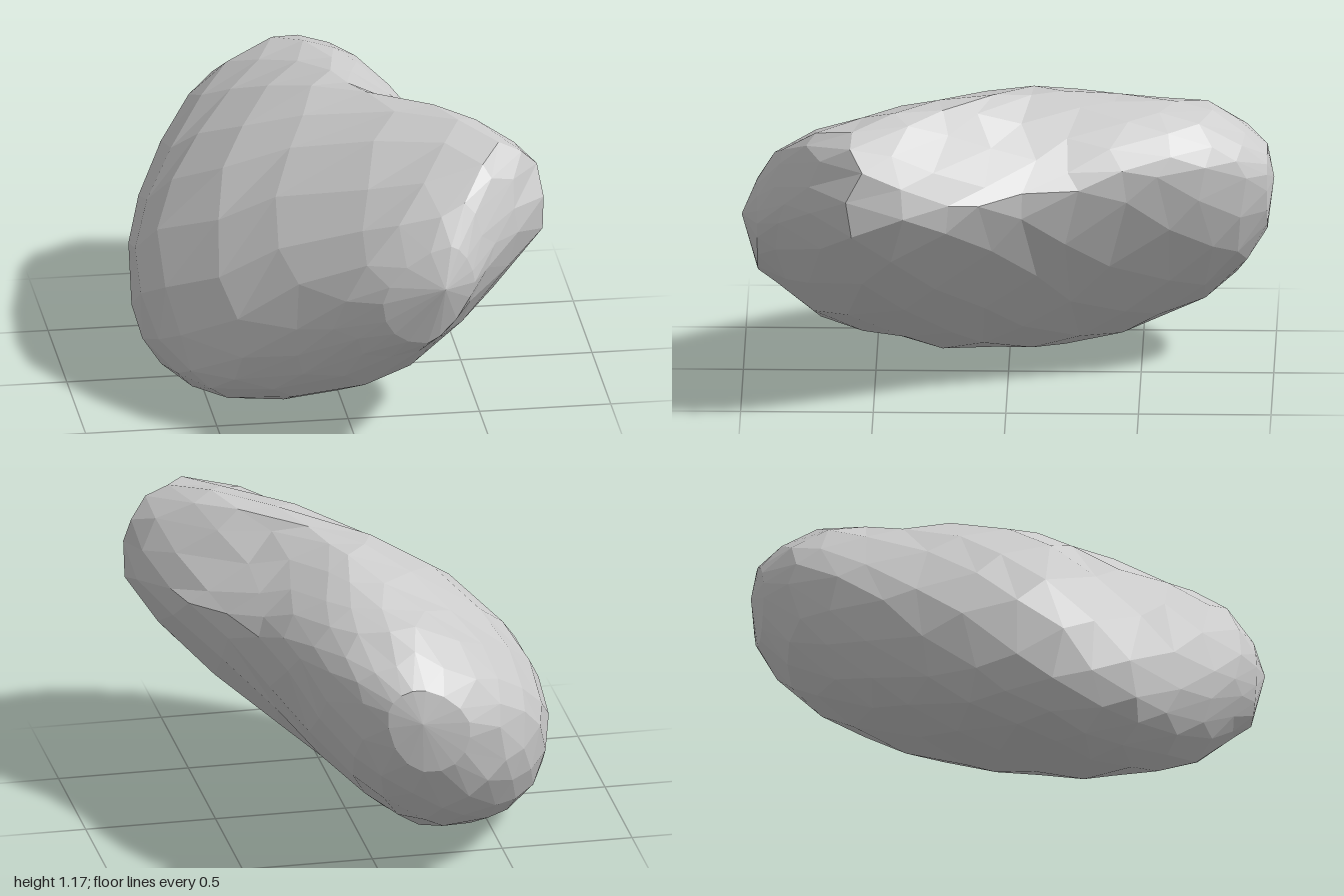
import * as THREE from 'three';

// Cross-sections from front to back. Each has its z, its extreme points
// (right-most, top, left-most, bottom as x, y) and the hollowness of the upper +x shoulder.
const SECTIONS = [
  [0.94, 0.42, 0.72, 0.33, 0.87, 0.07, 0.65, 0.24, 0.48, 1.2],
  [0.86, 0.49, 0.78, 0.36, 1.0, -0.08, 0.58, 0.18, 0.4, 1.1],
  [0.73, 0.62, 0.83, 0.48, 1.1, -0.25, 0.47, 0.06, 0.24, 1],
  [0.57, 0.76, 0.84, 0.5, 1.14, -0.45, 0.36, -0.12, 0.13, 0.85],
  [0.4, 0.73, 0.84, 0.42, 1.17, -0.61, 0.32, -0.26, 0.05, 1.1],
  [0.24, 0.65, 0.83, 0.33, 1.165, -0.68, 0.36, -0.28, 0, 1.4],
  [0.08, 0.57, 0.85, 0.15, 1.145, -0.745, 0.4, -0.29, 0, 1.85],
  [-0.08, 0.47, 0.84, 0.05, 1.135, -0.75, 0.41, -0.29, 0, 1.6],
  [-0.24, 0.4, 0.84, 0.03, 1.125, -0.735, 0.43, -0.28, 0.02, 1.45],
  [-0.42, 0.34, 0.88, 0.03, 1.1, -0.69, 0.47, -0.27, 0.07, 1.3],
  [-0.6, 0.28, 0.87, 0, 1.08, -0.62, 0.53, -0.25, 0.15, 1.15],
  [-0.75, 0.22, 0.85, -0.05, 1.055, -0.54, 0.6, -0.22, 0.24, 1.1],
  [-0.88, 0.14, 0.82, -0.1, 0.97, -0.44, 0.66, -0.19, 0.36, 1],
  [-0.975, 0.04, 0.78, -0.08, 0.88, -0.28, 0.71, -0.13, 0.54, 1],
];
const PER_QUARTER = 4;
const COUNT = PER_QUARTER * 4;

// Point on a section: four superellipse quarters joined at the extremes.
function sectionPoint(s, turn) {
  const z = s[0];
  const u = (turn / PER_QUARTER) % 4;
  const q = Math.floor(u);
  const t = (u - q) * Math.PI / 2;
  // Full lower -x side; flat underside towards +x that rounds off at the back
  const p = [s[9], 1.25, 0.65 + 0.25 * Math.abs(z), 1.42 + 0.45 * Math.min(0, z + 0.1)][q];
  const from = [s[1 + q * 2], s[2 + q * 2]];
  const n = (q + 1) % 4;
  const to = [s[1 + n * 2], s[2 + n * 2]];
  const a = Math.pow(Math.cos(t), p);
  const b = Math.pow(Math.sin(t), p);
  // Quarter centre takes one coordinate from each extreme.
  const cx = q % 2 === 0 ? to[0] : from[0];
  const cy = q % 2 === 0 ? from[1] : to[1];
  return new THREE.Vector3(
    cx + (from[0] - cx) * a + (to[0] - cx) * b,
    cy + (from[1] - cy) * a + (to[1] - cy) * b,
    z
  );
}

// Odd rings are staggered; inner points slide along the surface towards a
// neighbouring ring so that the facets are uneven.
function stonePoint(row, j) {
  const turn = j + (row % 2) * 0.5;
  const point = sectionPoint(SECTIONS[row], turn);
  const slide = 0.2 * Math.sin(j * 2.4 + row * 1.7);
  const neighbour = SECTIONS[row + Math.sign(slide)];
  if (neighbour && row > 0 && row < SECTIONS.length - 1) {
    point.lerp(sectionPoint(neighbour, turn), Math.abs(slide));
  }
  return point;
}

function createStoneGeometry() {
  const points = [];
  SECTIONS.forEach((s, row) => {
    for (let j = 0; j < COUNT; j++) points.push(stonePoint(row, j));
  });
  const frontTip = points.length;
  const backTip = frontTip + 1;
  points.push(new THREE.Vector3(0.3, 0.72, 1), new THREE.Vector3(-0.09, 0.75, -1));

  const index = [];
  const last = SECTIONS.length - 1;
  for (let j = 0; j < COUNT; j++) {
    const k = (j + 1) % COUNT;
    // Staggered triangle strips between neighbouring sections
    for (let row = 0; row < last; row++) {
      const a = row * COUNT + j, b = row * COUNT + k;
      const c = a + COUNT, d = b + COUNT;
      if (row % 2 === 0) index.push(a, c, b, b, c, d);
      else index.push(a, c, d, a, d, b);
    }
    // End caps
    index.push(frontTip, j, k);
    index.push(backTip, last * COUNT + k, last * COUNT + j);
  }

  const geometry = new THREE.BufferGeometry().setFromPoints(points);
  geometry.setIndex(index);
  const flat = geometry.toNonIndexed();
  flat.computeVertexNormals();
  return flat;
}

export function createModel() {
  const group = new THREE.Group();
  group.name = 'rock';
  const stone = new THREE.Mesh(
    createStoneGeometry(),
    new THREE.MeshStandardMaterial({ color: 0xcccccc, flatShading: true })
  );
  stone.name = 'stone';
  group.add(stone);
  return group;
}
